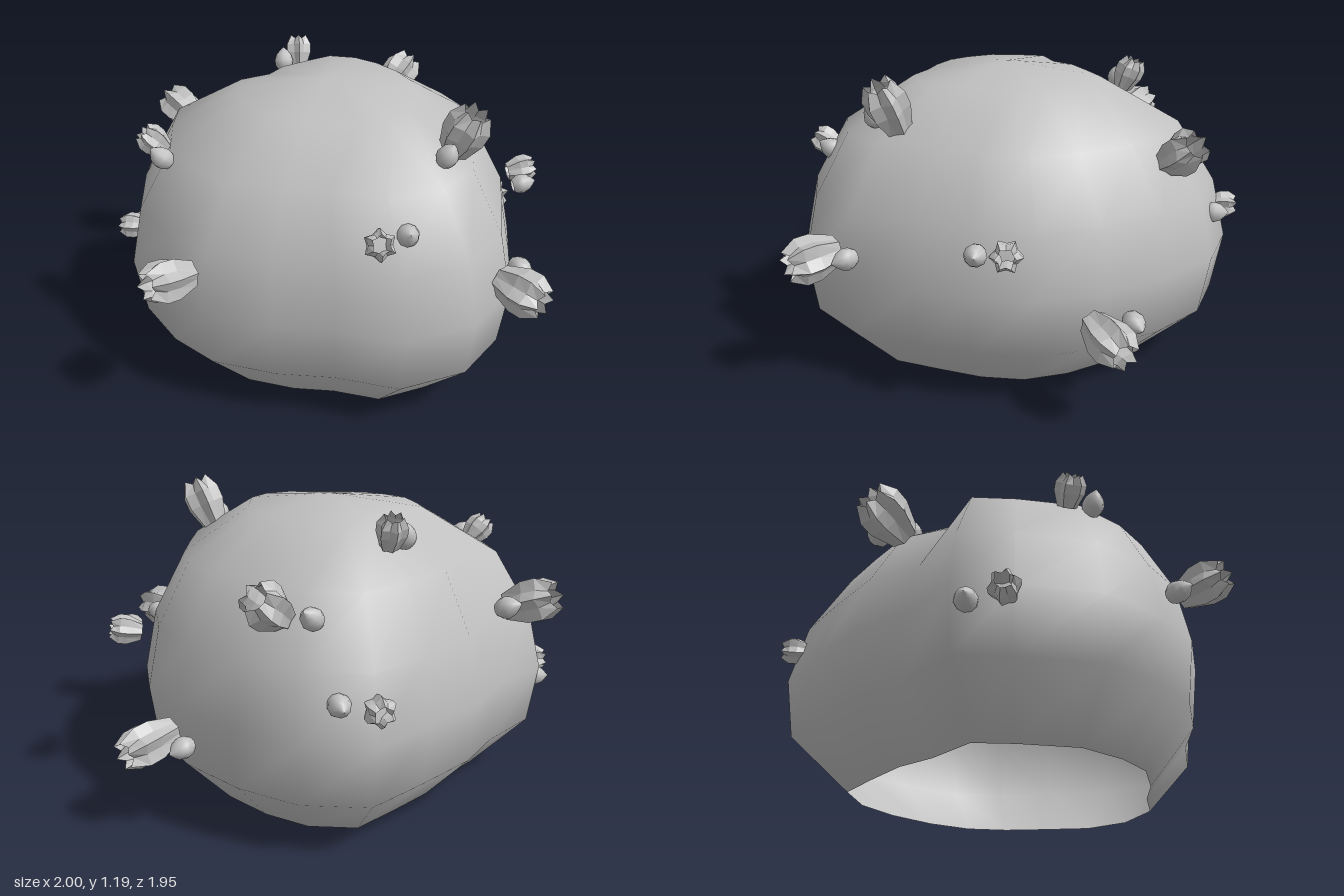
import * as THREE from 'three';

// Both the boulder and the barnacles are open shells, so both sides show.
const stone = new THREE.MeshStandardMaterial({ color: 0xc0c0c0, side: THREE.DoubleSide });
stone.name = 'pale grey stone';

// Skin a stack of equal-length rings of [x, y, z], optionally closed by an apex point.
function loft(rings, apex = []) {
  const n = rings[0].length, pos = rings.flat(2).concat(apex), idx = [];
  const top = rings.length * n;
  rings.forEach((_, i) => {
    for (let j = 0; j < n; j++) {
      const a = i * n + j, b = i * n + (j + 1) % n;
      if (i < rings.length - 1) idx.push(a, a + n, b, b, a + n, b + n);
      else if (apex.length) idx.push(a, top, b);
    }
  });
  const g = new THREE.BufferGeometry();
  g.setAttribute('position', new THREE.Float32BufferAttribute(pos, 3));
  g.setIndex(idx);
  g.computeVertexNormals();
  return g;
}

// Plan outline of the boulder at its widest, from +x round through +z.
const outline = [
  [0.77, -0.05], [0.72, 0.2], [0.59, 0.4], [0.43, 0.56], [0.22, 0.76], [-0.03, 0.83],
  [-0.3, 0.75], [-0.46, 0.54], [-0.63, 0.38], [-0.79, 0.16], [-0.84, -0.06], [-0.83, -0.33],
  [-0.67, -0.6], [-0.54, -0.77], [-0.25, -0.775], [-0.03, -0.82], [0.25, -0.81],
  [0.52, -0.79], [0.69, -0.59], [0.76, -0.34],
];
const dentIndex = 14;
// Height, outline scale and depth of the hollow in the back, for each level.
const levels = [
  [0, 0.71, 0], [0.22, 0.96, 0], [0.46, 1, 0.01], [0.7, 0.935, 0.04], [0.94, 0.77, 0.06], [1.11, 0.43, 0.02],
];

function ring([y, s, dent]) {
  return outline.map(([x, z], i) =>
    [-0.05 + (x + 0.05) * s, y, -0.03 + (z + 0.03) * s + (i === dentIndex ? dent : 0)]);
}

// Ribbed, open barnacle of unit radius and height, centred, along +y.
function barnacleGeometry() {
  const zigzag = (r, h, groove, drop) => Array.from({ length: 12 }, (_, j) => {
    const a = j / 12 * Math.PI * 2, odd = j % 2;
    const q = odd ? r * groove : r;
    return [q * Math.cos(a), h - odd * drop, q * Math.sin(a)];
  });
  const g = loft([
    zigzag(0.6, -0.55, 0.8, 0), zigzag(0.95, -0.1, 0.74, 0),
    zigzag(0.96, 0.18, 0.72, 0), zigzag(0.6, 0.48, 0.75, 0.1),
  ]).toNonIndexed();
  g.computeVertexNormals();
  return g;
}

// Small pointed dome of unit radius along +y.
function domeGeometry() {
  const profile = [[0.6, -0.9], [0.92, -0.5], [1, -0.05], [0.8, 0.45], [0.42, 0.8], [0, 1.1]];
  return new THREE.LatheGeometry(profile.map(p => new THREE.Vector2(...p)), 10);
}

// Barnacle centre, direction, radius, length, then the centre of its small dome.
const clusters = [
  [[0.885, 0.34, 0], [1, -0.15, 0], 0.09, 0.22, [0.83, 0.35, -0.14]],
  [[0.175, 0.54, 0.865], [0.15, -0.1, 1], 0.095, 0.2, [0.27, 0.555, 0.76]],
  [[0.15, 1.08, 0.53], [0.15, 0.85, 0.4], 0.09, 0.21, [0.05, 1.02, 0.55]],
  [[-0.9, 0.64, 0.125], [-1, 0.15, 0.1], 0.09, 0.19, [-0.89, 0.56, -0.02]],
  [[0.67, 0.91, -0.43], [0.75, 0.55, -0.1], 0.09, 0.18, [0.57, 0.87, -0.54]],
  [[-0.28, 0.82, -0.87], [-0.2, 0.4, -1], 0.095, 0.2, [-0.17, 0.81, -0.83]],
  [[-0.34, 0.83, 0.64], [-0.4, 0.5, 0.75], 0.062, 0.11, [-0.22, 0.83, 0.65]],
  [[0.73, 0.67, 0.33], [0.85, 0.2, 0.5], 0.062, 0.12, [0.65, 0.655, 0.41]],
  [[-0.68, 0.96, -0.34], [-0.6, 0.7, -0.3], 0.062, 0.12, [-0.7, 0.93, -0.24]],
  [[0.15, 1.1, -0.53], [0.2, 0.9, -0.3], 0.062, 0.13, [0.07, 1.07, -0.53]],
  [[0.5, 0.59, -0.785], [0.5, 0, -0.85], 0.06, 0.11, [0.58, 0.6, -0.68]],
  [[-0.68, 0.43, -0.65], [-0.7, 0, -0.7], 0.06, 0.12, [-0.58, 0.4, -0.73]],
];

export function createModel() {
  const model = new THREE.Group();
  model.name = 'barnacledBoulder';
  const add = (name, geometry) => {
    const mesh = new THREE.Mesh(geometry, stone);
    mesh.name = name;
    model.add(mesh);
    return mesh;
  };

  // Hollow boulder, open underneath
  add('boulder', loft(levels.map(ring), [-0.03, 1.16, -0.06]));

  // Barnacle clusters
  const barnacle = barnacleGeometry(), dome = domeGeometry(), up = new THREE.Vector3(0, 1, 0);
  clusters.forEach(([centre, dir, r, length, domeCentre], i) => {
    const turn = new THREE.Quaternion().setFromUnitVectors(up, new THREE.Vector3(...dir).normalize());
    const shell = add('barnacle' + (i + 1), barnacle);
    shell.position.set(...centre);
    shell.quaternion.copy(turn);
    shell.scale.set(r, length, r);
    const bud = add('smallDome' + (i + 1), dome);
    bud.position.set(...domeCentre);
    bud.quaternion.copy(turn);
    bud.scale.set(0.042, 0.05, 0.042);
  });
  return model;
}
